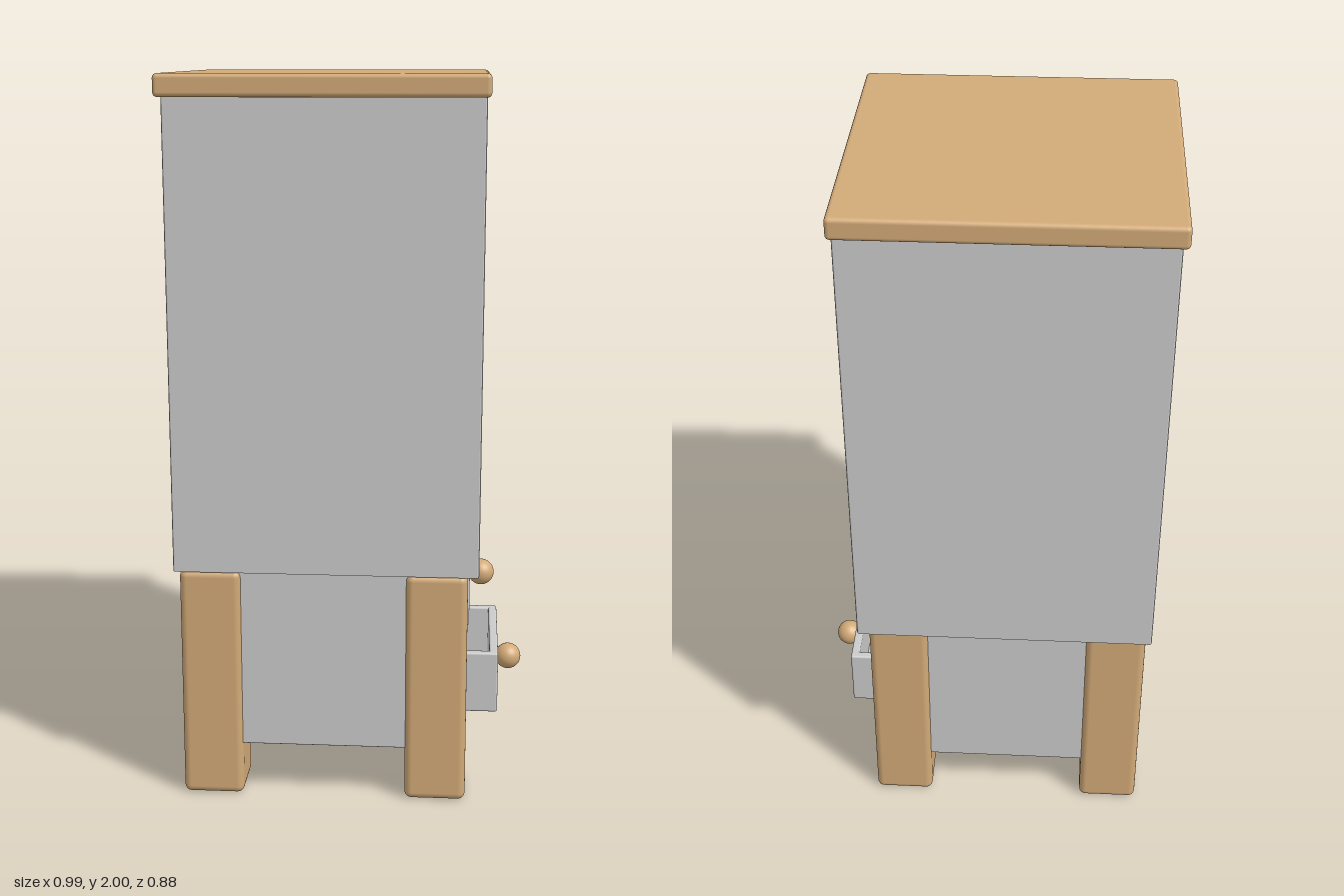
import * as THREE from 'three';
import { RoundedBoxGeometry } from 'three/addons/geometries/RoundedBoxGeometry.js';

const grey = new THREE.MeshStandardMaterial({ color: 0xcccccc });
const wood = new THREE.MeshStandardMaterial({ color: 0xd2aa78 });

// Softly rounded block given by its extents on each axis
function block(parent, name, material, [x0, x1], [y0, y1], [z0, z1], radius = 0.006) {
  const geometry = new RoundedBoxGeometry(x1 - x0, y1 - y0, z1 - z0, 3, radius);
  const mesh = new THREE.Mesh(geometry, material);
  mesh.position.set((x0 + x1) / 2, (y0 + y1) / 2, (z0 + z1) / 2);
  mesh.name = name;
  parent.add(mesh);
  return mesh;
}

function rectangle(PathType, u0, u1, v0, v1) {
  return new PathType([
    new THREE.Vector2(u0, v0), new THREE.Vector2(u1, v0),
    new THREE.Vector2(u1, v1), new THREE.Vector2(u0, v1),
  ]);
}

// Open-fronted shell: a bevelled rectangular frame extruded along x, plus a back panel
function addCabinet(parent) {
  const cabinet = new THREE.Group();
  cabinet.name = 'cabinet';
  const outline = rectangle(THREE.Shape, -0.403, 0.407, 0.66, 1.945);
  outline.holes.push(rectangle(THREE.Path, -0.383, 0.387, 0.682, 1.92));
  const bevel = 0.005;
  const geometry = new THREE.ExtrudeGeometry(outline, {
    depth: 0.84 - 2 * bevel, bevelThickness: bevel, bevelSize: bevel,
    bevelOffset: -bevel, bevelSegments: 2,
  });
  geometry.rotateY(Math.PI / 2).translate(-0.48 + bevel, 0, 0);
  const shell = new THREE.Mesh(geometry, grey);
  shell.name = 'cabinetShell';
  cabinet.add(shell);
  block(cabinet, 'backPanel', grey, [-0.479, -0.455], [0.67, 1.935], [-0.397, 0.393], 0.002);
  for (const y of [1.05, 1.55]) {
    block(cabinet, 'shelf', wood, [-0.46, 0.345], [y, y + 0.06], [-0.386, 0.382]);
  }
  parent.add(cabinet);
}

// Open tray with a round knob; front is the x of its face
function addDrawer(parent, name, front, bottom) {
  const drawer = new THREE.Group();
  drawer.name = name;
  const top = bottom + 0.18, z0 = -0.198, z1 = 0.212, t = 0.025;
  const back = front - 0.6;
  block(drawer, 'drawerFront', grey, [front - t, front], [bottom, top], [z0, z1]);
  block(drawer, 'drawerBack', grey, [back, back + t], [bottom, top], [z0, z1]);
  block(drawer, 'drawerFloor', grey, [back + 0.002, front - 0.002], [bottom, bottom + t], [z0 + 0.001, z1 - 0.001]);
  for (const z of [z0, z1 - t]) {
    block(drawer, 'drawerSide', grey, [back, front - 0.002], [bottom, top], [z, z + t]);
  }
  const knob = new THREE.Mesh(new THREE.SphereGeometry(0.038, 32, 20), wood);
  knob.position.set(front + 0.033, bottom + 0.095, 0.006);
  knob.name = 'knob';
  drawer.add(knob);
  parent.add(drawer);
}

export function createModel() {
  const model = new THREE.Group();
  model.name = 'cabinetOnLegs';

  // Top board and shelved upper part
  block(model, 'topBoard', wood, [-0.495, 0.37], [1.94, 2], [-0.438, 0.438], 0.012);
  addCabinet(model);

  // Lower case between the legs
  block(model, 'drawerCase', grey, [-0.45, 0.315], [0.15, 0.665], [-0.375, 0.387], 0.004);

  // Four chunky legs
  for (const x of [-0.465, 0.16]) {
    for (const z of [-0.389, 0.228]) {
      block(model, 'leg', wood, [x, x + 0.17], [0, 0.662], [z, z + 0.172], 0.02);
    }
  }

  // Upper drawer closed, lower drawer pulled out
  addDrawer(model, 'upperDrawer', 0.335, 0.453);
  addDrawer(model, 'lowerDrawer', 0.42, 0.19);
  return model;
}
